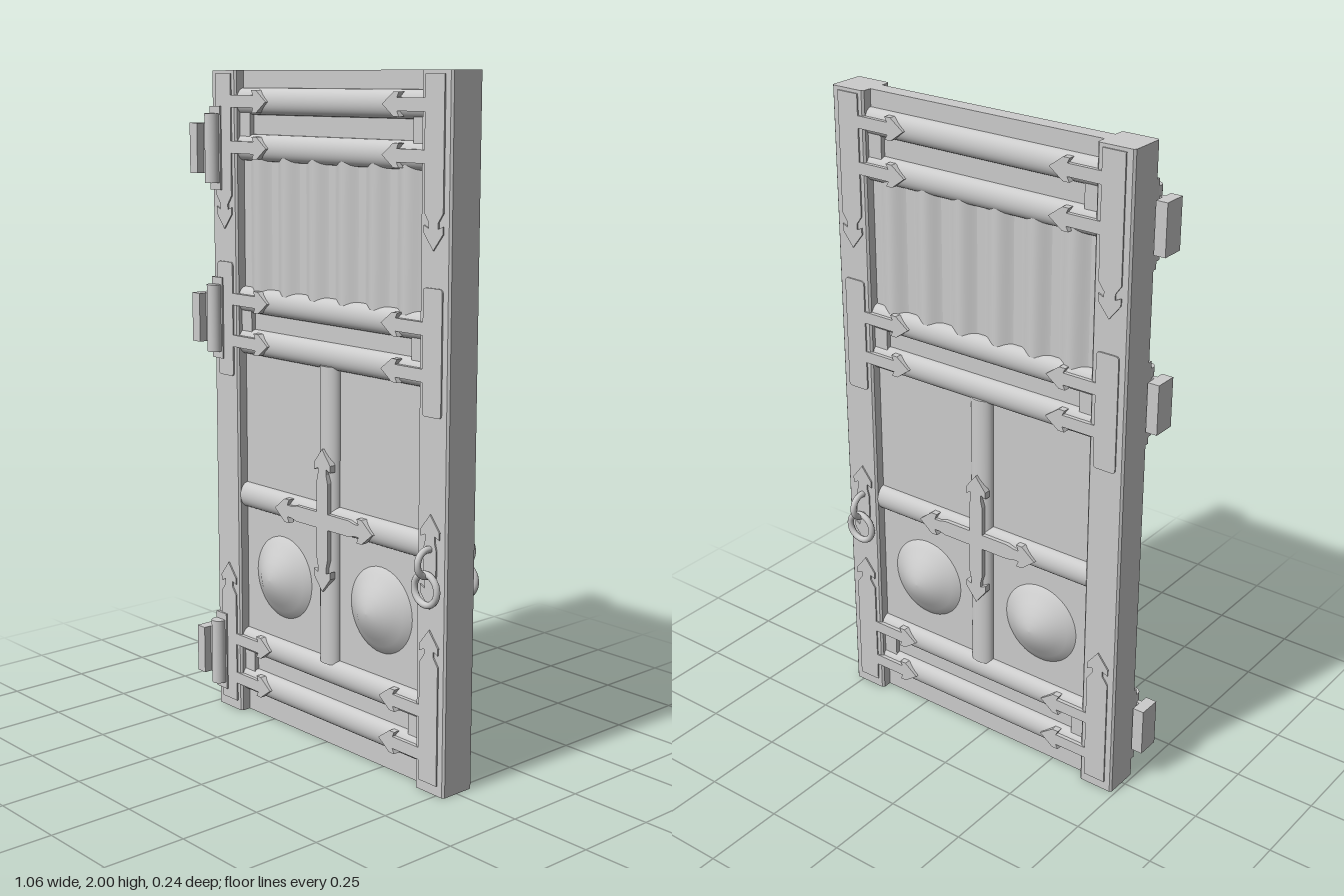
import * as THREE from 'three';

const mat = new THREE.MeshStandardMaterial({ color: 0xcccccc });

function add(parent, name, geo, x = 0, y = 0, z = 0) {
  const m = new THREE.Mesh(geo, mat);
  m.name = name;
  m.position.set(x, y, z);
  parent.add(m);
  return m;
}
const box = (w, h, d) => new THREE.BoxGeometry(w, h, d);

// Half-sunk oval moulding, lying along x or standing along y
function moulding(parent, name, length, x, y, upright) {
  const geo = new THREE.CylinderGeometry(0.039, 0.039, length, 28);
  if (!upright) geo.rotateZ(Math.PI / 2);
  geo.scale(1, 1, 0.72);
  add(parent, name, geo, x, y, 0.025);
}

// Flat iron strap starting at (x, y), running at an angle and ending in an arrowhead
function arrow(parent, name, x, y, angle, length, width, head = 0.072) {
  const h = width / 2, n = Math.min(h, 0.018), k = head / 2;
  const half = [[0, h], [length - 0.1, h], [length - 0.075, n], [length - 0.058, n],
    [length - 0.066, k], [length - 0.045, k]];
  const pts = [...half, [length, 0], ...half.map(([a, b]) => [a, -b]).reverse()];
  const shape = new THREE.Shape(pts.map(([a, b]) => new THREE.Vector2(a, b)));
  const geo = new THREE.ExtrudeGeometry(shape, { depth: 0.02, bevelEnabled: false });
  add(parent, name, geo, x, y, 0.042).rotation.z = angle;
}

// Rounded plate for the middle straps
function plate(parent, name, x, y, w, h) {
  const a = w / 2, b = h / 2, c = 0.012;
  const shape = new THREE.Shape();
  shape.moveTo(-a + c, -b);
  shape.lineTo(a - c, -b); shape.quadraticCurveTo(a, -b, a, -b + c);
  shape.lineTo(a, b - c); shape.quadraticCurveTo(a, b, a - c, b);
  shape.lineTo(-a + c, b); shape.quadraticCurveTo(-a, b, -a, b - c);
  shape.lineTo(-a, -b + c); shape.quadraticCurveTo(-a, -b, -a + c, -b);
  add(parent, name, new THREE.ExtrudeGeometry(shape, { depth: 0.02, bevelEnabled: false }), x, y, 0.042);
}

// Everything mounted on one face of the door
function doorFace(side) {
  const g = new THREE.Group();
  g.name = side > 0 ? 'frontFace' : 'backFace';
  const up = Math.PI / 2;

  // Rails and crossing mouldings
  const pairs = [[1.91, 1.775], [1.318, 1.19], [0.235, 0.107]];
  for (const ys of pairs) for (const y of ys) moulding(g, 'rail', 0.79, 0, y, false);
  moulding(g, 'middleRail', 0.79, 0, 0.707, false);
  moulding(g, 'muntin', 0.9, 0, 0.712, true);

  // Corner and middle straps with arrow-tipped arms
  for (const s of [-1, 1]) {
    const x = s * 0.448;
    arrow(g, 'topStrap', x, 1.99, -up, 0.46, 0.072);
    plate(g, 'middleStrap', x, 1.255, 0.072, 0.35);
    arrow(g, 'bottomStrap', x, 0.03, up, 0.45, 0.072);
    for (const ys of pairs) {
      for (const y of ys) arrow(g, 'strapArm', s * 0.43, y, s > 0 ? Math.PI : 0, 0.183, 0.036, 0.066);
      add(g, 'strapGusset', box(0.048, 0.07, 0.02), s * 0.371, (ys[0] + ys[1]) / 2, 0.03);
    }
  }

  // Four-armed cross ornament
  for (let i = 0; i < 4; i++) arrow(g, 'crossArm', 0, 0.703, i * up, 0.216, 0.048);

  // Domed bosses
  const profile = [[0.13, 0.018], [0.13, 0.024], [0.105, 0.04], [0.08, 0.056], [0.055, 0.071],
    [0.03, 0.081], [0.012, 0.085], [0, 0.086]].map(([r, h]) => new THREE.Vector2(r, h));
  const dome = new THREE.LatheGeometry(profile, 40).rotateX(up);
  for (const s of [-1, 1]) add(g, 'boss', dome, s * 0.217, 0.475, 0);

  // Pull ring on its staple
  const rx = side * 0.448;
  arrow(g, 'ringPlate', rx, 0.67, up, 0.14, 0.05);
  arrow(g, 'ringPlate', rx, 0.67, -up, 0.13, 0.05);
  add(g, 'ringStaple', new THREE.TorusGeometry(0.038, 0.01, 12, 32).rotateY(up), rx, 0.675, 0.07);
  add(g, 'pullRing', new THREE.TorusGeometry(0.044, 0.01, 12, 36), rx, 0.6, 0.076);

  if (side < 0) g.rotation.y = Math.PI;
  return g;
}

// Upright with slightly eased long edges
function stile(w, d, h) {
  const a = w / 2, b = d / 2, c = 0.006;
  const pts = [[-a + c, -b], [a - c, -b], [a, -b + c], [a, b - c], [a - c, b], [-a + c, b], [-a, b - c], [-a, -b + c]];
  const shape = new THREE.Shape(pts.map(([x, y]) => new THREE.Vector2(x, y)));
  return new THREE.ExtrudeGeometry(shape, { depth: h, bevelEnabled: false }).rotateX(-Math.PI / 2);
}

// Corrugated upper panel, waved on both sides
function corrugated(width, height) {
  const n = 96, geo = new THREE.BoxGeometry(width, height, 0.06, n, 1, 1);
  const p = geo.attributes.position;
  for (let i = 0; i < p.count; i++) {
    const wave = Math.cos(((p.getX(i) + 0.314) / 0.127) * Math.PI * 2);
    p.setZ(i, Math.sign(p.getZ(i)) * (0.034 + 0.012 * wave));
  }
  geo.computeVertexNormals();
  return geo;
}

export function createModel() {
  const model = new THREE.Group();
  model.name = 'door';

  const leaf = new THREE.Group();
  leaf.name = 'doorLeaf';
  leaf.position.set(0.02, 0, -0.003);
  model.add(leaf);

  // Core, stiles and upper panel
  add(leaf, 'corePanel', box(0.8, 2, 0.05), 0, 1, 0);
  for (const s of [-1, 1]) add(leaf, 'stile', stile(0.115, 0.115, 2), s * 0.451, 0, 0);
  add(leaf, 'corrugatedPanel', corrugated(0.79, 0.42), 0, 1.547, 0);
  leaf.add(doorFace(1), doorFace(-1));

  // Hinges on the model's right edge
  for (const y of [1.77, 1.255, 0.183]) {
    const hinge = new THREE.Group();
    hinge.name = 'hinge';
    hinge.position.y = y;
    add(hinge, 'hingePlate', box(0.05, 0.25, 0.014), -0.462, 0, 0.057);
    add(hinge, 'hingeBarrel', new THREE.CylinderGeometry(0.023, 0.023, 0.207, 24), -0.464, 0, 0.073);
    add(hinge, 'hingeLeaf', box(0.05, 0.15, 0.014), -0.485, 0, 0.074);
    add(hinge, 'hingeBlock', box(0.036, 0.15, 0.072), -0.514, 0, 0.07);
    model.add(hinge);
  }
  return model;
}
